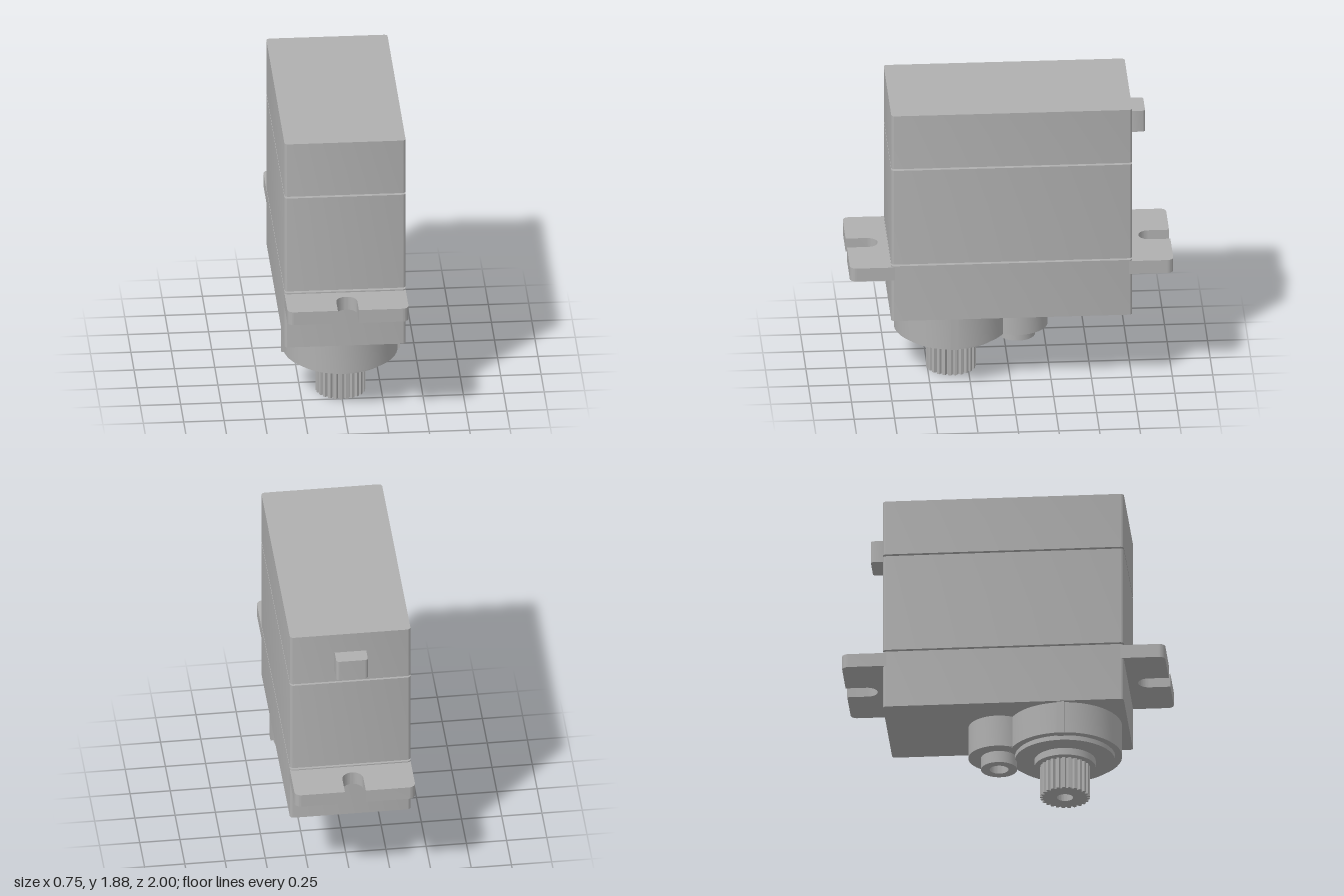
import * as THREE from 'three';
import { toCreasedNormals } from 'three/addons/utils/BufferGeometryUtils.js';

const SHAFT_Z = 0.353, IDLER_Z = -0.055;

// Rectangle outline with rounded corners, centred on the origin
function roundedRect(hw, hd, r) {
  const s = new THREE.Shape();
  s.absarc(hw - r, hd - r, r, 0, Math.PI / 2);
  s.absarc(-hw + r, hd - r, r, Math.PI / 2, Math.PI);
  s.absarc(-hw + r, -hd + r, r, Math.PI, Math.PI * 1.5);
  s.absarc(hw - r, -hd + r, r, Math.PI * 1.5, Math.PI * 2);
  s.closePath();
  return s;
}

function disc(r, holeRadius = 0) {
  const s = new THREE.Shape().absarc(0, 0, r, 0, Math.PI * 2);
  if (holeRadius) s.holes.push(new THREE.Path().absarc(0, 0, holeRadius, 0, Math.PI * 2, true));
  return s;
}

export function createModel() {
  const group = new THREE.Group();
  const plastic = new THREE.MeshStandardMaterial({ color: 0xb0b0b0 });
  plastic.name = 'grey plastic';

  // Extrudes a plan outline upward from y0 to y1
  function slab(name, shape, y0, y1, z = 0, curveSegments = 24) {
    const geo = new THREE.ExtrudeGeometry(shape, { depth: y1 - y0, bevelEnabled: false, curveSegments });
    geo.rotateX(-Math.PI / 2);
    const mesh = new THREE.Mesh(toCreasedNormals(geo, 0.5), plastic);
    mesh.name = name;
    mesh.position.set(0, y0, z);
    group.add(mesh);
    return mesh;
  }

  // Case: three blocks separated by thin recessed seams
  const caseOutline = roundedRect(0.375, 0.745, 0.022);
  const seamOutline = roundedRect(0.35, 0.72, 0.015);
  slab('lowerCase', caseOutline, 0.485, 0.858, 0, 6);
  slab('lowerSeam', seamOutline, 0.858, 0.87, 0, 6);
  slab('middleCase', caseOutline, 0.87, 1.508, 0, 6);
  slab('upperSeam', seamOutline, 1.508, 1.52, 0, 6);
  slab('upperCase', caseOutline, 1.52, 1.88, 0, 6);

  // Mounting tabs, each with an open slot
  const tab = new THREE.Shape();
  tab.moveTo(-0.375, 0.724);
  tab.lineTo(0.375, 0.724);
  tab.absarc(0.335, 0.96, 0.04, 0, Math.PI / 2);
  tab.lineTo(0.065, 1);
  tab.absarc(0, 0.871, 0.065, 0, Math.PI, true);
  tab.lineTo(-0.065, 1);
  tab.absarc(-0.335, 0.96, 0.04, Math.PI / 2, Math.PI);
  tab.closePath();
  slab('backMountingTab', tab, 0.762, 0.85);
  slab('frontMountingTab', tab, 0.762, 0.85).rotation.y = Math.PI;

  // Cable outlet on the back
  slab('cableOutlet', roundedRect(0.098, 0.06, 0.018), 1.6, 1.742, -0.782, 6);

  // Gear housing with its stepped collar
  slab('gearHousing', disc(0.353), 0.28, 0.487, SHAFT_Z);
  slab('housingStep', disc(0.31), 0.25, 0.282, SHAFT_Z);
  slab('shaftCollar', disc(0.19), 0.205, 0.252, SHAFT_Z);

  // Side ribs on the housing
  for (const side of [-1, 1]) {
    const rib = new THREE.Mesh(new THREE.BoxGeometry(0.05, 0.213, 0.046), plastic);
    rib.name = side > 0 ? 'leftRib' : 'rightRib';
    rib.position.set(side * 0.342, 0.3795, SHAFT_Z);
    group.add(rib);
  }

  // Second gear housing and its hollow boss
  slab('idlerHousing', disc(0.19), 0.2805, 0.487, IDLER_Z);
  slab('idlerBoss', disc(0.112, 0.058), 0.205, 0.282, IDLER_Z);

  // Toothed output shaft with a screw hole
  const teeth = 25, spline = new THREE.Shape();
  for (let i = 0; i < teeth; i++) {
    [[0, 0.137], [0.2, 0.137], [0.38, 0.154], [0.82, 0.154]].forEach(([f, r], k) => {
      const a = ((i + f) / teeth) * Math.PI * 2;
      spline[i + k === 0 ? 'moveTo' : 'lineTo'](r * Math.cos(a), r * Math.sin(a));
    });
  }
  spline.closePath();
  spline.holes.push(new THREE.Path().absarc(0, 0, 0.05, 0, Math.PI * 2, true));
  slab('outputShaft', spline, 0, 0.207, SHAFT_Z);

  return group;
}
